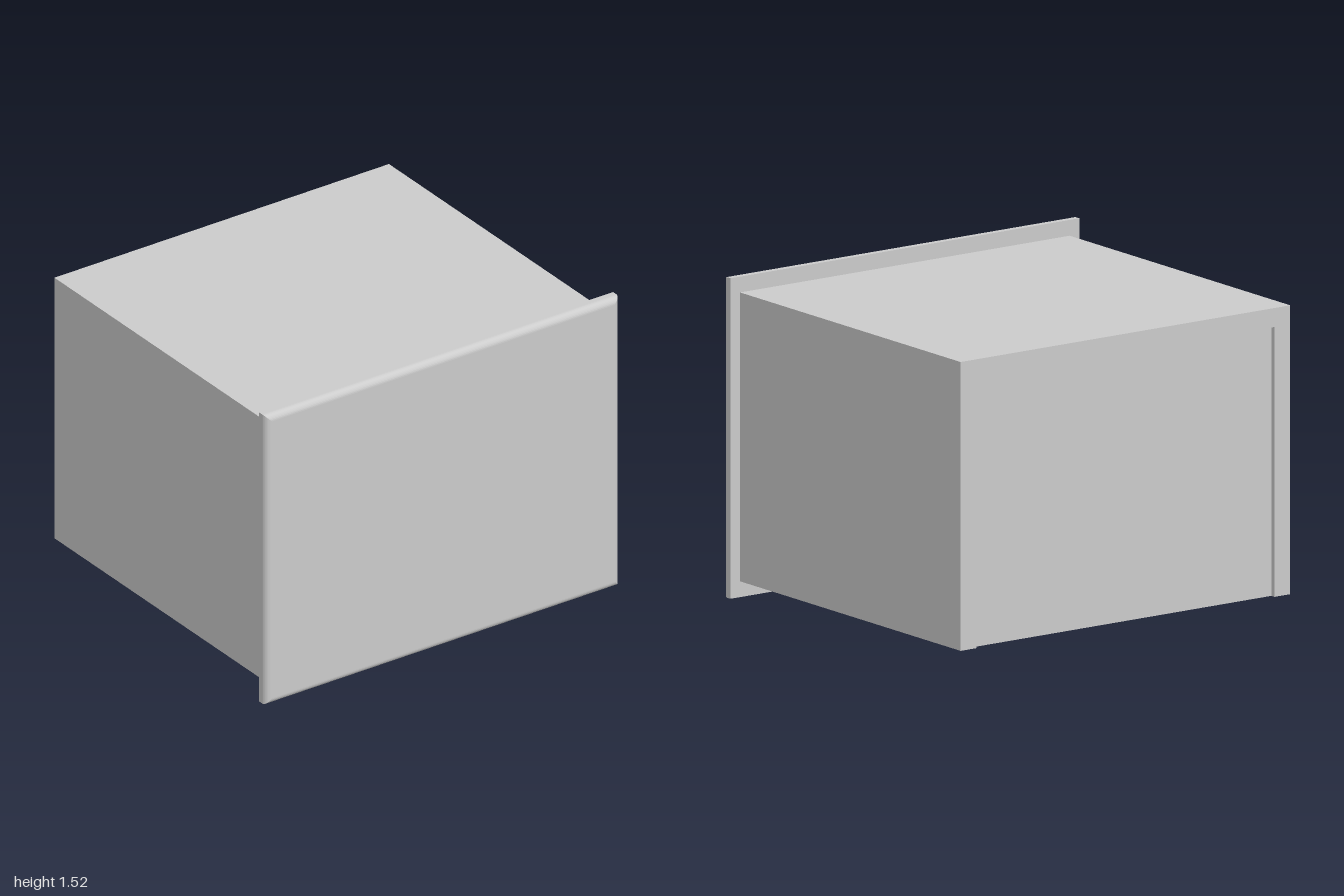
import * as THREE from 'three';

const material = new THREE.MeshStandardMaterial({ color: 0xcccccc });

// Carcass limits and board thickness
const X = 0.945, Y0 = 0.075, Y1 = 1.445, BACK = -0.885, FRONT = 0.827, T = 0.09;
const IN = X - T;

// Box given by its limits on each axis
function board(name, x0, x1, y0, y1, z0, z1) {
  const mesh = new THREE.Mesh(new THREE.BoxGeometry(x1 - x0, y1 - y0, z1 - z0), material);
  mesh.position.set((x0 + x1) / 2, (y0 + y1) / 2, (z0 + z1) / 2);
  mesh.name = name;
  return mesh;
}

// Rectangular slab whose front edges are rounded over, with mitred corners
function roundedFront(halfW, height, z0, z1, radius, steps) {
  const rings = [];
  const addRing = (inset, z) => rings.push([
    [-halfW + inset, inset, z], [halfW - inset, inset, z],
    [halfW - inset, height - inset, z], [-halfW + inset, height - inset, z],
  ]);
  addRing(0, z0);
  for (let i = 0; i <= steps; i++) {
    const a = (i / steps) * Math.PI / 2;
    addRing(radius * (1 - Math.cos(a)), z1 - radius + radius * Math.sin(a));
  }
  const pos = [];
  const quad = (a, b, c, d) => pos.push(...a, ...b, ...c, ...a, ...c, ...d);
  for (let r = 0; r < rings.length - 1; r++) {
    for (let k = 0; k < 4; k++) {
      const n = (k + 1) % 4;
      quad(rings[r][k], rings[r][n], rings[r + 1][n], rings[r + 1][k]);
    }
  }
  const [a, b, c, d] = rings[0];
  quad(d, c, b, a);
  quad(...rings[rings.length - 1]);
  const geometry = new THREE.BufferGeometry();
  geometry.setAttribute('position', new THREE.Float32BufferAttribute(pos, 3));
  geometry.computeVertexNormals();
  return geometry;
}

export function createModel() {
  const model = new THREE.Group();
  model.name = 'cabinetBox';

  // Side and top boards
  model.add(board('leftSide', IN, X, Y0, Y1, BACK, FRONT));
  model.add(board('rightSide', -X, -IN, Y0, Y1, BACK, FRONT));
  model.add(board('topBoard', -IN, IN, Y1 - T, Y1, BACK, FRONT));

  // Inner front, cross partition and thin recessed back
  model.add(board('innerFront', -IN, IN, Y0, Y1 - T, 0.77, FRONT));
  model.add(board('partition', -IN, IN, Y0, Y1 - T, 0.45, 0.535));
  model.add(board('backPanel', -IN, IN, Y0, Y1 - T, BACK + 0.025, BACK + 0.05));

  // Overlapping front panel
  const front = new THREE.Mesh(roundedFront(1, 1.52, FRONT, 0.885, 0.032, 8), material);
  front.name = 'frontPanel';
  model.add(front);

  return model;
}
